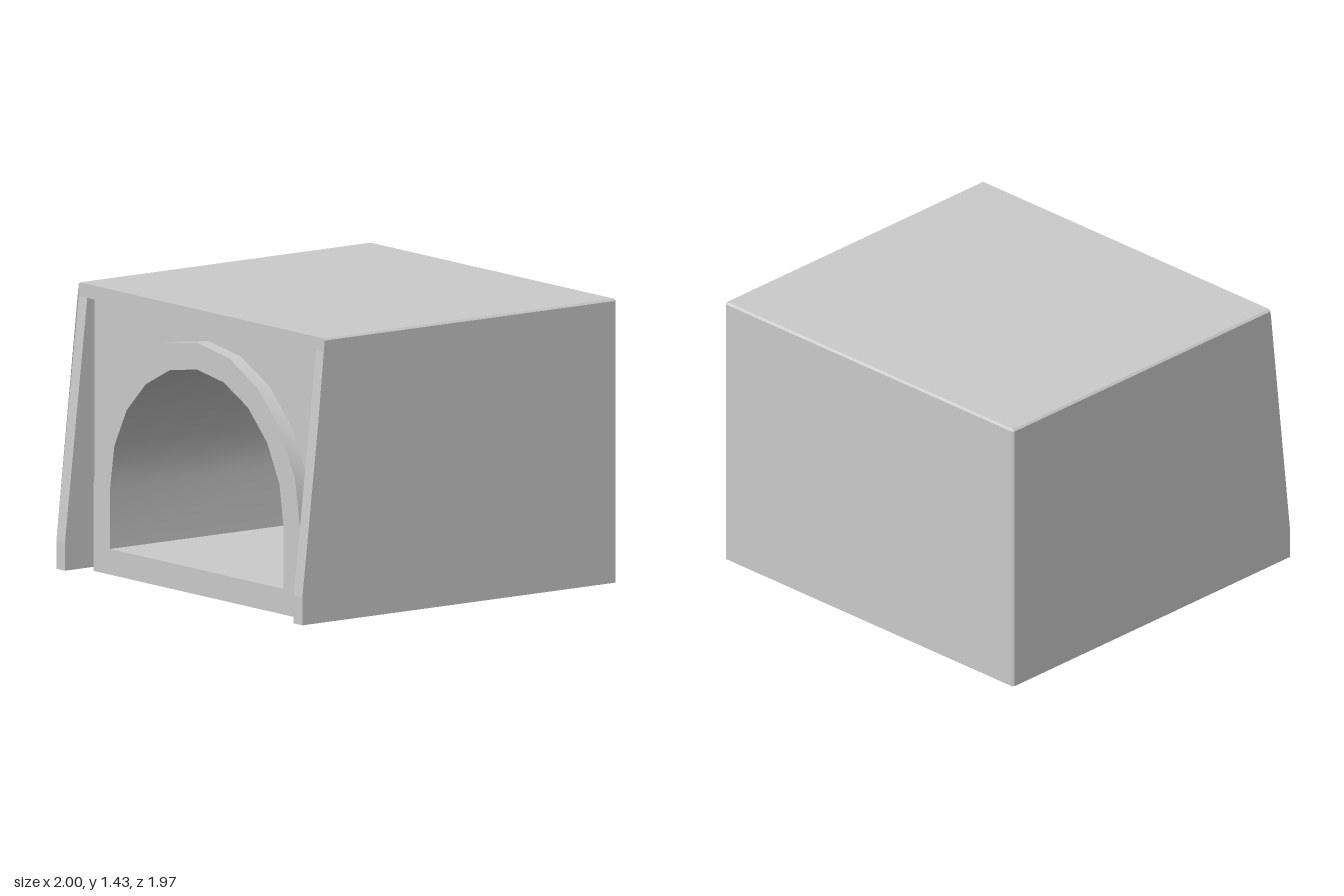
import * as THREE from 'three';

const BACK = -0.985, FRONT = 0.985, TOP_FRONT = 0.845; // depths of the shell
const H = 1.43, B = 0.01;                              // height and edge bevel
const IN_X = 0.93, IN_Y = 1.36, PANEL_Z = 0.8;         // recessed front panel
const ARCH_Z = 0.875, CHAMBER_Z = -0.35, FLOOR_Y = 0.13, SPRING = 0.44;

const material = new THREE.MeshStandardMaterial({ color: 0xcccccc, side: THREE.DoubleSide });

function addMesh(parent, name, geometry) {
  const mesh = new THREE.Mesh(geometry, material);
  mesh.name = name;
  parent.add(mesh);
  return mesh;
}

// Flat convex polygons, each turned into a fan of triangles
function sheets(...polygons) {
  const pos = [];
  for (const p of polygons)
    for (let i = 1; i < p.length - 1; i++) pos.push(...p[0], ...p[i], ...p[i + 1]);
  const g = new THREE.BufferGeometry();
  g.setAttribute('position', new THREE.Float32BufferAttribute(pos, 3));
  g.computeVertexNormals();
  return g;
}

// Arch outline from right foot over the crown to left foot
function arch(rx, ry, foot) {
  const pts = [new THREE.Vector2(rx, foot)];
  for (let i = 0; i <= 10; i++) {
    const a = (i * Math.PI) / 10;
    pts.push(new THREE.Vector2(rx * Math.cos(a), SPRING + ry * Math.sin(a)));
  }
  pts.push(new THREE.Vector2(-rx, foot));
  return pts;
}

// Smooth open surface between two outlines at two depths
function loft(a, za, b, zb) {
  const pos = [], index = [];
  a.forEach((p, i) => {
    pos.push(p.x, p.y, za, b[i].x, b[i].y, zb);
    if (i) {
      const k = 2 * i;
      index.push(k - 2, k - 1, k, k, k - 1, k + 1);
    }
  });
  const g = new THREE.BufferGeometry();
  g.setAttribute('position', new THREE.Float32BufferAttribute(pos, 3));
  g.setIndex(index);
  g.computeVertexNormals();
  return g;
}

const flat = (pts, z) => new THREE.ShapeGeometry(new THREE.Shape(pts)).translate(0, 0, z);

export function createModel() {
  const model = new THREE.Group();
  model.name = 'archedHearth';
  const x = 1 - B, y = H - B, z = BACK + B;

  // Outer shell, open underneath
  const shell = new THREE.Group();
  shell.name = 'outerShell';
  model.add(shell);
  addMesh(shell, 'topPanel', sheets([[-x, H, TOP_FRONT], [x, H, TOP_FRONT], [x, H, z], [-x, H, z]]));
  addMesh(shell, 'backPanel', sheets(
    [[x, 0, BACK], [-x, 0, BACK], [-x, y, BACK], [x, y, BACK]],
    [[x, y, BACK], [-x, y, BACK], [-x, H, z], [x, H, z]]));
  addMesh(shell, 'header', sheets(
    [[-1, IN_Y, TOP_FRONT], [1, IN_Y, TOP_FRONT], [1, y, TOP_FRONT],
      [x, H, TOP_FRONT], [-x, H, TOP_FRONT], [-1, y, TOP_FRONT]],
    [[-IN_X, IN_Y, PANEL_Z], [IN_X, IN_Y, PANEL_Z], [IN_X, IN_Y, TOP_FRONT], [-IN_X, IN_Y, TOP_FRONT]]));

  for (const s of [1, -1]) {
    const side = s > 0 ? 'left' : 'right';
    const face = (...p) => (s > 0 ? p : p.map(([a, b, c]) => [-a, b, c]).reverse());
    // Side wall with its leaning front edge and narrow bevels
    addMesh(shell, side + 'Wall', sheets(
      face([1, 0, FRONT], [1, 0, z], [1, y, z], [1, y, TOP_FRONT], [1, IN_Y, TOP_FRONT], [1, 0.14, FRONT]),
      face([1, y, TOP_FRONT], [1, y, z], [x, H, z], [x, H, TOP_FRONT]),
      face([1, 0, z], [x, 0, BACK], [x, y, BACK], [1, y, z]),
      face([1, y, z], [x, y, BACK], [x, H, z])));
    // Front edge of the wall and its return to the recessed panel
    addMesh(shell, side + 'Jamb', sheets(
      face([IN_X, 0, FRONT], [1, 0, FRONT], [1, 0.14, FRONT], [IN_X, 0.14, FRONT]),
      face([IN_X, 0.14, FRONT], [1, 0.14, FRONT], [1, IN_Y, TOP_FRONT], [IN_X, IN_Y, TOP_FRONT]),
      face([IN_X, 0, PANEL_Z], [IN_X, 0, FRONT], [IN_X, 0.14, FRONT],
        [IN_X, IN_Y, TOP_FRONT], [IN_X, IN_Y, PANEL_Z])));
  }

  // Recessed front panel cut around the arch
  const outer = arch(0.84, 0.83, 0), inner = arch(0.705, 0.695, 0);
  const V = (a, b) => new THREE.Vector2(a, b);
  addMesh(model, 'frontPanel', flat(
    [V(IN_X, 0), V(IN_X, IN_Y), V(-IN_X, IN_Y), V(-IN_X, 0), ...outer.slice().reverse()], PANEL_Z));

  // Raised arch surround
  const surround = new THREE.Group();
  surround.name = 'archSurround';
  model.add(surround);
  addMesh(surround, 'archFace', flat([...outer, ...inner.slice().reverse()], ARCH_Z));
  addMesh(surround, 'archEdge', loft(outer, ARCH_Z, outer, PANEL_Z));

  // Vaulted chamber, slightly narrower at the back
  const chamber = new THREE.Group();
  chamber.name = 'chamber';
  model.add(chamber);
  const mouth = arch(0.705, 0.695, FLOOR_Y), end = arch(0.698, 0.685, FLOOR_Y);
  addMesh(chamber, 'vault', loft(mouth, ARCH_Z, end, CHAMBER_Z));
  addMesh(chamber, 'chamberBack', flat(end, CHAMBER_Z));
  addMesh(chamber, 'chamberFloor', sheets([[-0.705, FLOOR_Y, ARCH_Z], [0.705, FLOOR_Y, ARCH_Z],
    [0.698, FLOOR_Y, CHAMBER_Z], [-0.698, FLOOR_Y, CHAMBER_Z]]));
  addMesh(chamber, 'sill', sheets([[-0.705, 0, ARCH_Z], [0.705, 0, ARCH_Z],
    [0.705, FLOOR_Y, ARCH_Z], [-0.705, FLOOR_Y, ARCH_Z]]));
  return model;
}
